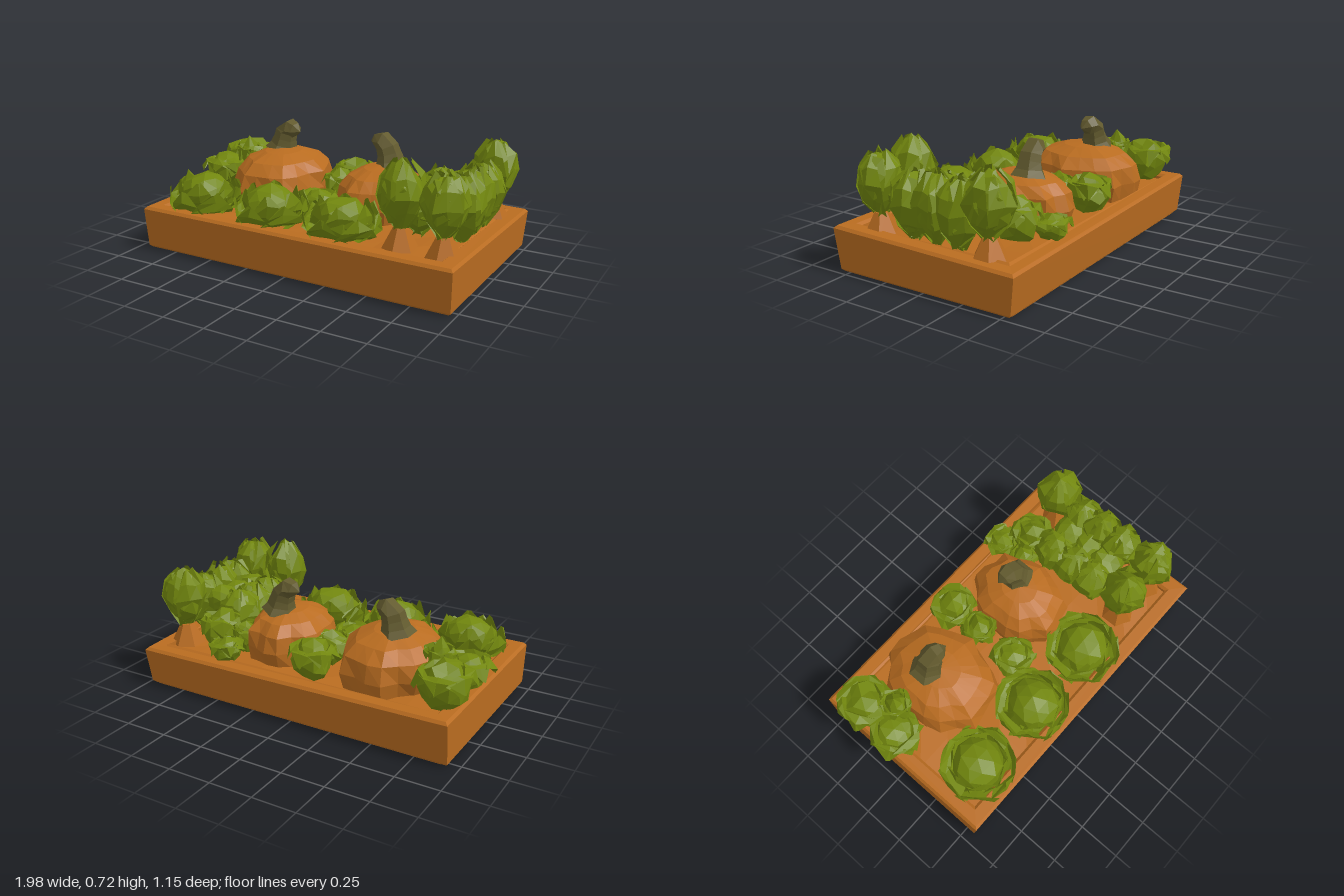
import * as THREE from 'three';

const flat = (name, color, side = THREE.FrontSide) =>
  Object.assign(new THREE.MeshStandardMaterial({ color, flatShading: true, side }), { name });

export function createModel() {
  const root = new THREE.Group();
  root.name = 'vegetablePlanter';
  const clay = flat('clayOrange', 0xb96c20);
  const green = flat('leafGreen', 0x72870e, THREE.DoubleSide);
  const stemMat = flat('stemOlive', 0x625a2e);

  // Repeatable jitter that depends on position, so shared corners stay together
  const noise = (x, y, z, k) => {
    const s = Math.sin(x * 12.99 + y * 78.23 + z * 37.72 + k * 4.17) * 43758.55;
    return (s - Math.floor(s)) * 2 - 1;
  };
  const warp = (geo, rule) => {
    const p = geo.attributes.position;
    for (let i = 0; i < p.count; i++) p.setXYZ(i, ...rule(p.getX(i), p.getY(i), p.getZ(i), i));
    geo.computeVertexNormals();
    return geo;
  };
  const add = (parent, name, geo, mat, x = 0, y = 0, z = 0) => {
    const m = new THREE.Mesh(geo, mat);
    m.name = name;
    m.position.set(x, y, z);
    parent.add(m);
    return m;
  };
  const group = (name, x, y, z) => {
    const g = new THREE.Group();
    g.name = name;
    g.position.set(x, y, z);
    root.add(g);
    return g;
  };
  const round = (v) => Math.round(v * 100) / 100 + 0;

  // Rough faceted ball
  const lump = (rx, ry, rz, seed, amount = 0.13) =>
    warp(new THREE.IcosahedronGeometry(1, 1), (x, y, z) => {
      const k = 1 + amount * noise(round(x), round(y), round(z), seed);
      return [x * rx * k, y * ry * k, z * rz * k];
    });

  // Leaf that follows a curve in the (outward, up) plane, with a folded pointed blade
  const leaf = (pts, width, cup, seed) => {
    const curve = new THREE.QuadraticBezierCurve(...pts.map((p) => new THREE.Vector2(...p)));
    return warp(new THREE.PlaneGeometry(1, 1, 2, 4), (u, v) => {
      const t = v + 0.5;
      const c = curve.getPoint(t);
      const w = width * Math.sin(Math.PI * (0.13 + 0.82 * t));
      const j = 0.012;
      return [
        u * w + j * noise(u, v, 1, seed),
        c.y + cup * u * u + j * noise(u, v, 2, seed),
        c.x + cup * u * u + j * noise(u, v, 3, seed),
      ];
    });
  };
  const rosette = (g, n, pts, width, cup, seed, turn = 0) => {
    for (let i = 0; i < n; i++) {
      const m = add(g, 'leaf', leaf(pts, width, cup, seed + i), green);
      m.rotation.y = turn + (i / n) * Math.PI * 2;
    }
  };

  // Tray: bevelled frame narrowing toward the bottom, with floor and soil
  const rect = (s, x0, x1, z0, z1) =>
    s.moveTo(x0, z0).lineTo(x1, z0).lineTo(x1, z1).lineTo(x0, z1).closePath();
  const frame = rect(new THREE.Shape(), -0.925, 0.975, -0.565, 0.555);
  frame.holes.push(rect(new THREE.Path(), -0.86, 0.9, -0.5, 0.49));
  const frameGeo = new THREE.ExtrudeGeometry(frame, {
    depth: 0.23, bevelThickness: 0.015, bevelSize: 0.015, bevelSegments: 1,
  });
  frameGeo.rotateX(-Math.PI / 2).translate(0, 0.015, 0);
  // Bottom is slightly narrower, and the back right top corner is worn down
  const shape = (x, y, z) => {
    const k = 0.95 + 0.05 * Math.min(1, y / 0.25);
    const worn = x > 0.88 && z < -0.48 && y > 0.2 ? 0.025 : 0;
    return [x > 0 ? x * (0.985 + 0.058 * y) : x, y - worn, z * k];
  };
  add(root, 'trayFrame', warp(frameGeo, shape), clay);
  add(root, 'trayFloor', new THREE.BoxGeometry(1.84, 0.03, 1.06), clay, 0.02, 0.015, 0);
  const soilGeo = new THREE.PlaneGeometry(1.8, 1.02, 8, 5).rotateX(-Math.PI / 2);
  add(root, 'soil', warp(soilGeo, (x, y, z) => [x, 0.012 * noise(x, 0, z, 3), z]), clay, 0.02, 0.225, 0);

  // Pumpkins: ribbed squat bodies with a hooked stem
  const pumpkin = (x, z, rx, ry, rz, path, seed) => {
    const g = group('pumpkin', x, 0.31, z);
    const body = warp(new THREE.SphereGeometry(1, 20, 8), (a, b, c) => {
      const ring = Math.hypot(a, c);
      const rib = 1 + 0.06 * ring * Math.cos(Math.atan2(c, a) * 7);
      const k = rib + 0.05 * noise(round(a), round(b), round(c), seed) * ring;
      const y = Math.sign(b) * Math.pow(Math.abs(b), 0.8);
      return [a * rx * k, y * ry, c * rz * k];
    });
    add(g, 'pumpkinBody', body, clay);
    const curve = new THREE.CatmullRomCurve3(path.map((p) => new THREE.Vector3(...p)));
    const size = [1.4, 1.05, 0.9, 0.85, 0.8, 0.6, 0];
    const stem = warp(new THREE.TubeGeometry(curve, 6, 0.078, 6), (a, b, c, i) => {
      const ring = Math.floor(i / 7);
      const o = curve.getPointAt(ring / 6);
      const k = size[ring];
      return [o.x + (a - o.x) * k, o.y + (b - o.y) * k, o.z + (c - o.z) * k];
    });
    add(root, 'pumpkinStem', stem, stemMat);
  };
  pumpkin(-0.43, -0.14, 0.28, 0.21, 0.34,
    [[-0.47, 0.49, -0.19], [-0.45, 0.57, -0.19], [-0.43, 0.625, -0.19], [-0.33, 0.62, -0.17]], 5);
  pumpkin(0.24, -0.13, 0.24, 0.195, 0.29,
    [[0.28, 0.48, -0.19], [0.26, 0.57, -0.19], [0.23, 0.625, -0.19], [0.14, 0.62, -0.2]], 9);

  // Front row of cabbages: round heart in a ring of spreading leaves
  [-0.66, -0.2, 0.25].forEach((x, i) => {
    const g = group('cabbage', x, 0.25, 0.35);
    add(g, 'cabbageHeart', lump(0.15, 0.13, 0.15, i + 1, 0.07), green, 0, 0.07, 0);
    rosette(g, 7, [[0.07, -0.02], [0.22, -0.01], [0.21, 0.13]], 0.25, -0.03, i * 10);
    rosette(g, 6, [[0.07, 0], [0.18, 0.03], [0.15, 0.18]], 0.2, -0.03, i * 10 + 50, 0.4);
  });

  // Tall leafy tops: egg-shaped mass, wide in the middle, wrapped in pointed leaves
  const leafTop = (x, z, low, high, r, seed) => {
    const g = group('leafyTop', x, low, z);
    const h = high - low;
    add(g, 'leafCore', lump(r * 0.93, h * 0.43, r * 0.93, seed, 0.13), green, 0, h * 0.53, 0);
    rosette(g, 5, [[0.01, 0], [r * 1.75, h * 0.6], [r * 0.4, h]], r * 1.15, -0.05, seed * 7, seed);
  };
  // Root vegetables with exposed crowns
  [[0.6, 0.35, 0.71], [0.85, 0.36, 0.68], [0.85, -0.34, 0.69]].forEach(([x, z, top], i) => {
    add(root, 'rootCrown', new THREE.CylinderGeometry(0.04, 0.1, 0.12, 6), clay, x, 0.28, z);
    leafTop(x, z, 0.32, top, 0.125, i + 2);
  });
  // Dense middle bed, lower on its inner side
  [0.13, -0.01, -0.15].forEach((z, i) => {
    leafTop(0.85, z, 0.24, 0.61 + 0.015 * (i % 2), 0.12, 8 + i);
    leafTop(0.6, z, 0.24, 0.54, 0.125, 11 + i);
    add(root, 'leafFiller', lump(0.1, 0.08, 0.1, 30 + i, 0.2), green, 0.73, 0.45, z);
  });

  // Low leaf clumps at the left end, between the pumpkins and at the back
  const clumps = [
    [-0.83, -0.36, 0.16, 0.22], [-0.84, -0.11, 0.15, 0.18], [-0.73, -0.2, 0.1, 0.26],
    [-0.06, -0.38, 0.14, 0.18], [-0.06, -0.18, 0.11, 0.16], [-0.05, 0.08, 0.13, 0.11],
    [0.47, -0.46, 0.11, 0.11], [0.6, -0.33, 0.13, 0.21], [0.46, -0.28, 0.09, 0.15],
  ];
  clumps.forEach(([x, z, r, h], i) => {
    const g = group('leafClump', x, 0.25, z);
    add(g, 'clumpCore', lump(r * 0.8, h * 0.6, r * 0.8, i + 20, 0.18), green, 0, h * 0.45, 0);
    rosette(g, 6, [[0.02, 0.01], [r * 0.7, h * 1.5], [r * 1.05, h * 0.5]], r * 1.2, -0.04, i * 9 + 100, i);
  });

  return root;
}
